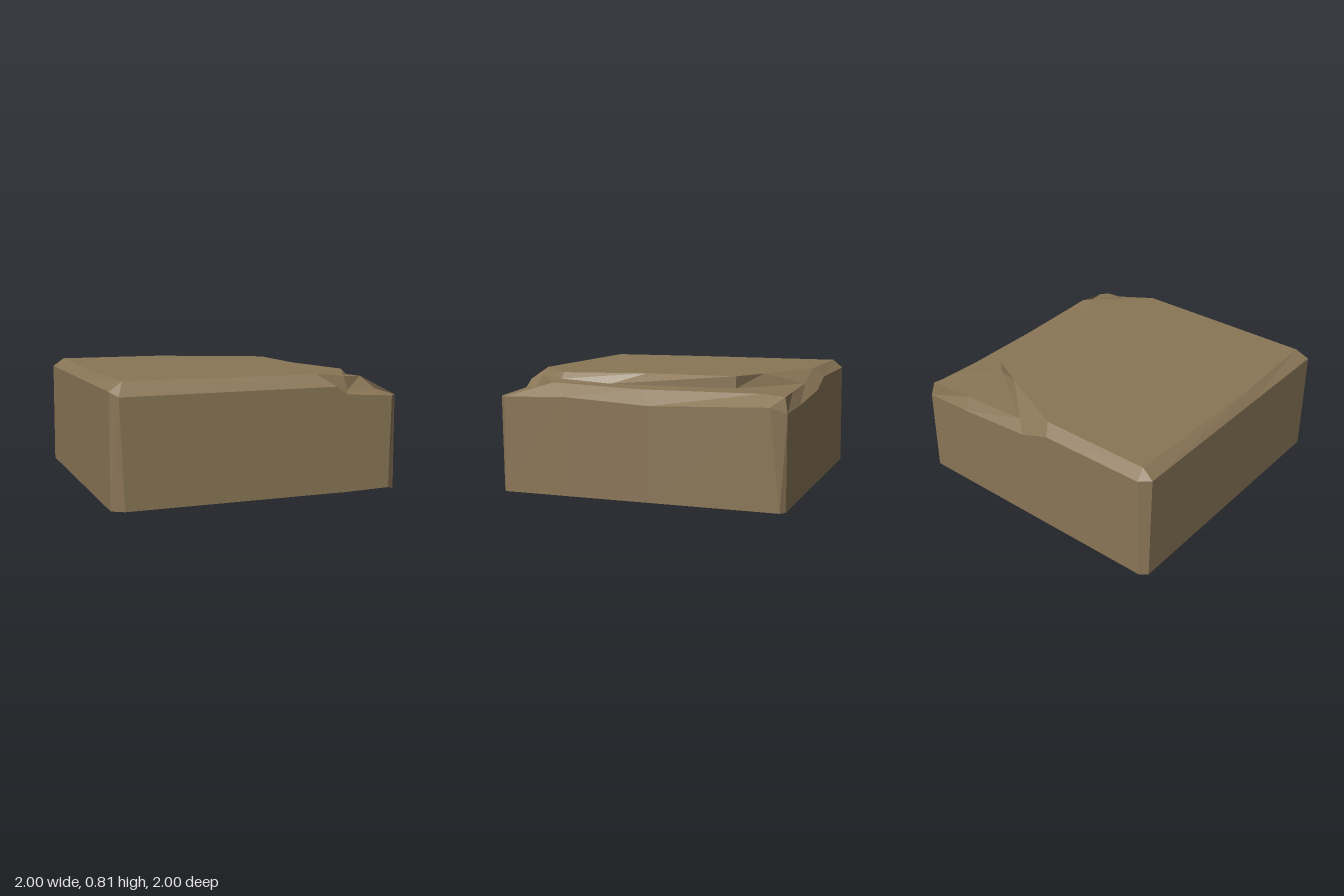
import * as THREE from 'three';

// Outlines run counterclockwise seen from above, starting at the front left; points are [x, y, z]
const foot = [
  [-0.92, 0, 1], [0.53, 0.01, 1], [0.61, 0.01, 1], [0.94, 0.02, 1], [1, 0, 0.96], [1, 0, 0.5], [1, 0, -0.1], [1, 0, -0.97],
  [0.96, 0, -1], [0.6, 0, -1], [0.04, 0, -1], [-0.18, 0, -1], [-0.95, 0, -1], [-1, 0, -0.96], [-1, 0, 0.2], [-1, 0, 0.95],
];
const shoulder = [
  [-0.95, 0.72, 1], [0.53, 0.73, 1], [0.61, 0.675, 1], [0.95, 0.655, 1], [1, 0.655, 0.95], [1, 0.67, 0.5], [1, 0.635, -0.1], [1, 0.66, -0.9],
  [0.95, 0.62, -1], [0.6, 0.63, -1], [0.04, 0.67, -1], [-0.18, 0.745, -1], [-0.93, 0.75, -1], [-1, 0.75, -0.94], [-1, 0.75, 0.2], [-1, 0.75, 0.95],
];
const plateau = [
  [-0.91, 0.81, 0.92], [0.42, 0.81, 0.92], [0.55, 0.81, 0.805], [0.76, 0.81, 0.62], [0.76, 0.81, 0.62], [0.76, 0.81, 0.62], [0.65, 0.81, 0.05], [0.65, 0.81, -0.57],
  [0.65, 0.81, -0.58], [0.65, 0.81, -0.58], [0.4, 0.81, -0.7], [-0.13, 0.81, -0.93], [-0.92, 0.81, -0.93], [-0.92, 0.81, -0.93], [-0.94, 0.81, 0.2], [-0.91, 0.81, 0.92],
];

// Chipped outlines follow the plateau except where the stone is broken away
const chipped = (changes) => plateau.map((p, i) => changes[i] ?? p);
const terrace = chipped({
  2: [0.67, 0.78, 0.83], 3: [0.67, 0.78, 0.83], 4: [0.91, 0.755, 0.62], 5: [0.91, 0.755, 0.62], 6: [0.905, 0.73, 0],
  7: [0.89, 0.73, -0.82], 8: [0.93, 0.72, -0.98], 9: [0.6, 0.717, -0.95], 10: [0.13, 0.725, -0.93],
});
const ledge = terrace.map((p, i) => ({ 2: [0.67, 0.69, 0.89], 3: [0.67, 0.69, 0.89], 4: [0.96, 0.675, 0.75] })[i] ?? p);
const cliffBase = chipped({
  2: [0.67, 0.78, 0.83], 3: [0.8, 0.77, 0.62], 4: [0.8, 0.77, 0.62], 5: [0.8, 0.77, 0.62], 6: [0.74, 0.74, 0.28],
  7: [0.65, 0.73, -0.57], 8: [0.65, 0.73, -0.58], 9: [0.65, 0.73, -0.58], 10: [0.13, 0.725, -0.93],
});

// Skins consecutive outlines, dropping faces that collapse to a line
function skin(rings) {
  const out = [];
  const tri = (...corners) => {
    const [a, b, c] = corners.map((p) => new THREE.Vector3(...p));
    if (b.clone().sub(a).cross(c.clone().sub(a)).length() > 1e-6) out.push(...corners.flat());
  };
  for (let r = 0; r < rings.length - 1; r++) {
    const low = rings[r], high = rings[r + 1];
    for (let i = 0; i < low.length; i++) {
      const j = (i + 1) % low.length;
      tri(low[i], low[j], high[j]);
      tri(low[i], high[j], high[i]);
    }
  }
  const geometry = new THREE.BufferGeometry();
  geometry.setAttribute('position', new THREE.Float32BufferAttribute(out, 3));
  geometry.computeVertexNormals();
  return geometry;
}

export function createModel() {
  const stone = new THREE.MeshStandardMaterial({ color: 0x8a7657, side: THREE.DoubleSide, flatShading: true });
  stone.name = 'brown stone';
  const block = new THREE.Group();
  block.name = 'stoneBlock';
  const add = (name, rings) => {
    const mesh = new THREE.Mesh(skin(rings), stone);
    mesh.name = name;
    block.add(mesh);
  };

  // Hollow shell, open underneath
  add('sideWalls', [foot, shoulder]);
  // Bevelled rim with the broken ledges on the right
  add('chippedRim', [shoulder, ledge, terrace, cliffBase, plateau]);
  // Flat top closed to its middle
  add('topFace', [plateau, plateau.map(() => [0, 0.81, 0])]);
  return block;
}
